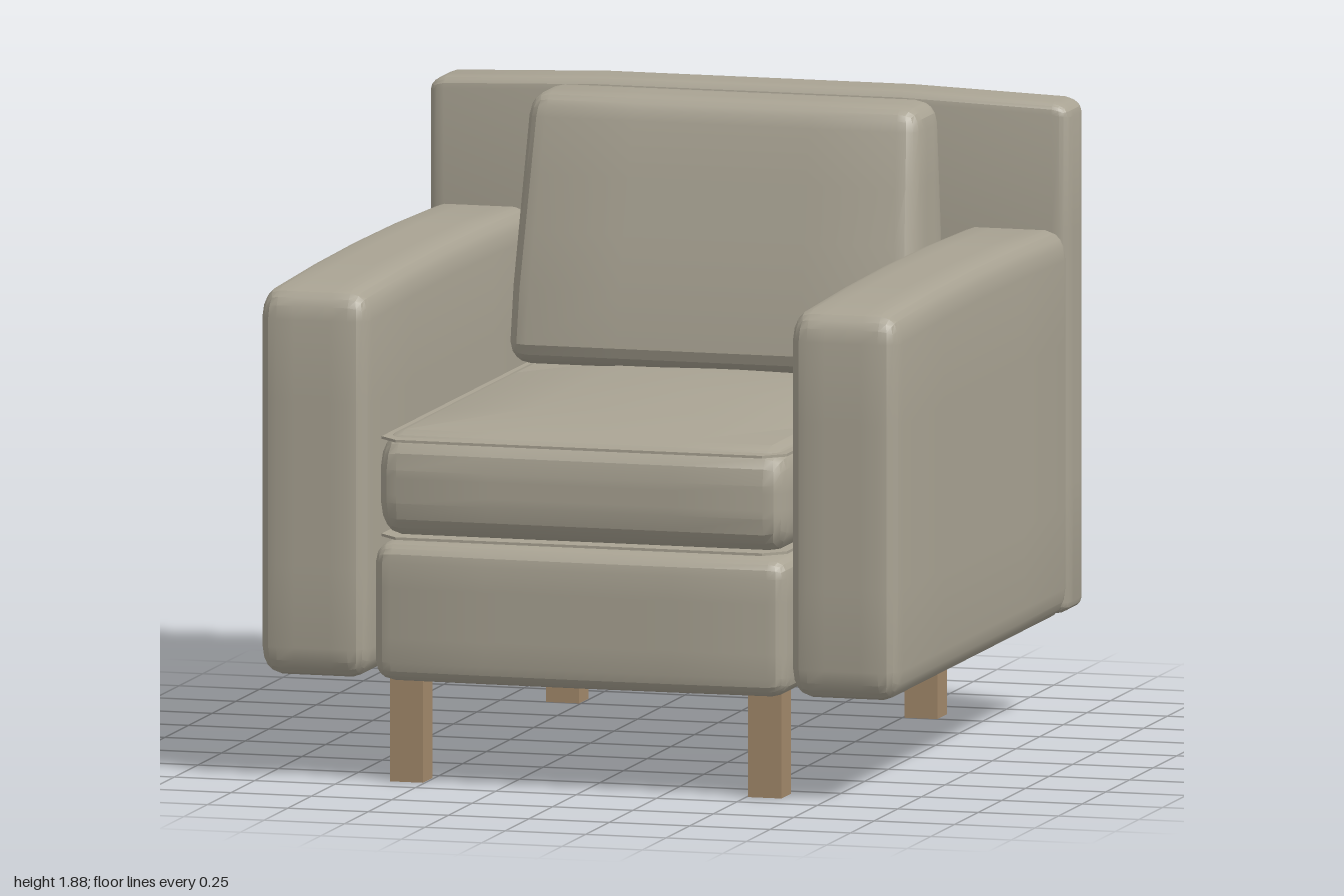
import * as THREE from 'three';
import { toCreasedNormals } from 'three/addons/utils/BufferGeometryUtils.js';

const fabric = new THREE.MeshStandardMaterial({ color: 0xa9a393 });
fabric.name = 'greige fabric';
const wood = new THREE.MeshStandardMaterial({ color: 0xa3896b });
wood.name = 'light wood';

// Upholstered block from min to max corner, with a bevel radius per axis and an optional warp of each vertex
function padded(name, min, max, radius, warp) {
  const geo = new THREE.BoxGeometry(2, 2, 2, 8, 8, 8);
  const pos = geo.attributes.position;
  const lo = new THREE.Vector3(...min), hi = new THREE.Vector3(...max);
  const centre = lo.clone().add(hi).multiplyScalar(0.5);
  const r = new THREE.Vector3(...radius);
  const core = hi.clone().sub(lo).multiplyScalar(0.5).sub(r);
  const v = new THREE.Vector3(), flat = new THREE.Vector3(), bend = new THREE.Vector3();
  for (let i = 0; i < pos.count; i++) {
    v.fromBufferAttribute(pos, i).multiplyScalar(2);
    flat.copy(v).clampScalar(-1, 1);
    bend.copy(v).sub(flat).normalize().multiply(r);
    v.copy(flat).multiply(core).add(bend).add(centre);
    if (warp) warp(v, flat);
    pos.setXYZ(i, v.x, v.y, v.z);
  }
  const mesh = new THREE.Mesh(toCreasedNormals(geo, 0.35), fabric);
  mesh.name = name;
  return mesh;
}

// Thin flat welt that follows the outline of the seat
function welt(name, y) {
  const outline = (w, front, back, c) => [
    [-w + c, front], [w - c, front], [w, front - c], [w, back + c],
    [w - c, back], [-w + c, back], [-w, back + c], [-w, front - c],
  ].map(([x, z]) => new THREE.Vector2(x, -z));
  const shape = new THREE.Shape(outline(0.63, 0.975, -0.79, 0.06));
  shape.holes.push(new THREE.Path(outline(0.54, 0.88, -0.7, 0.06)));
  const geo = new THREE.ExtrudeGeometry(shape, { depth: 0.008, bevelEnabled: false });
  geo.rotateX(-Math.PI / 2);
  const mesh = new THREE.Mesh(geo, fabric);
  mesh.name = name;
  mesh.position.y = y;
  return mesh;
}

export function createModel() {
  const model = new THREE.Group();
  model.name = 'armchair';

  // Tall back panel, slightly lower at its top corners
  model.add(padded('backPanel', [-0.995, 0.32, -0.995], [0.995, 1.88, -0.81], [0.05, 0.035, 0.035],
    (v) => { if (v.y > 1.7) v.y -= 0.025 * Math.max(0, Math.abs(v.x) - 0.85) / 0.145; }));

  // Arms
  for (const side of [-1, 1]) {
    const x = [0.655 * side, 0.995 * side].sort((a, b) => a - b);
    model.add(padded(side > 0 ? 'leftArm' : 'rightArm',
      [x[0], 0.315, -0.85], [x[1], 1.485, 0.995], [0.06, 0.09, 0.07],
      (v, f) => { if (v.y > 1.2) v.y += 0.015 * (1 - f.z * f.z); }));
  }

  // Base and seat cushion
  model.add(padded('seatBase', [-0.645, 0.31, -0.82], [0.645, 0.73, 0.99], [0.06, 0.06, 0.06],
    (v) => { if (v.z > 0.6) v.z -= 0.03 * Math.abs(v.x) ** 2; }));
  model.add(padded('seatCushion', [-0.64, 0.74, -0.8], [0.64, 1.06, 0.97], [0.07, 0.11, 0.1],
    (v, f) => {
      if (v.y > 1) v.y += 0.035 * (1 - f.x * f.x) * (1 - f.z * f.z);
    }));
  model.add(welt('upperWelt', 1.035), welt('lowerWelt', 0.741));

  // Back cushion, thinner and narrower towards the top
  model.add(padded('backCushion', [-0.64, 1.06, -0.795], [0.64, 1.87, -0.4], [0.07, 0.07, 0.1],
    (v) => {
      const t = THREE.MathUtils.clamp((v.y - 1.2) / 0.62, 0, 1);
      const depth = (v.z + 0.795) / 0.395;
      v.z -= 0.13 * t * depth;
      v.x *= 1 - 0.045 * t;
    }));

  // Square legs
  for (const x of [-0.557, 0.557]) {
    for (const z of [0.85, -0.8]) {
      const leg = new THREE.Mesh(new THREE.BoxGeometry(0.103, 0.33, 0.1), wood);
      leg.name = (z > 0 ? 'front' : 'back') + (x > 0 ? 'Left' : 'Right') + 'Leg';
      leg.position.set(x, 0.165, z);
      model.add(leg);
    }
  }
  return model;
}
